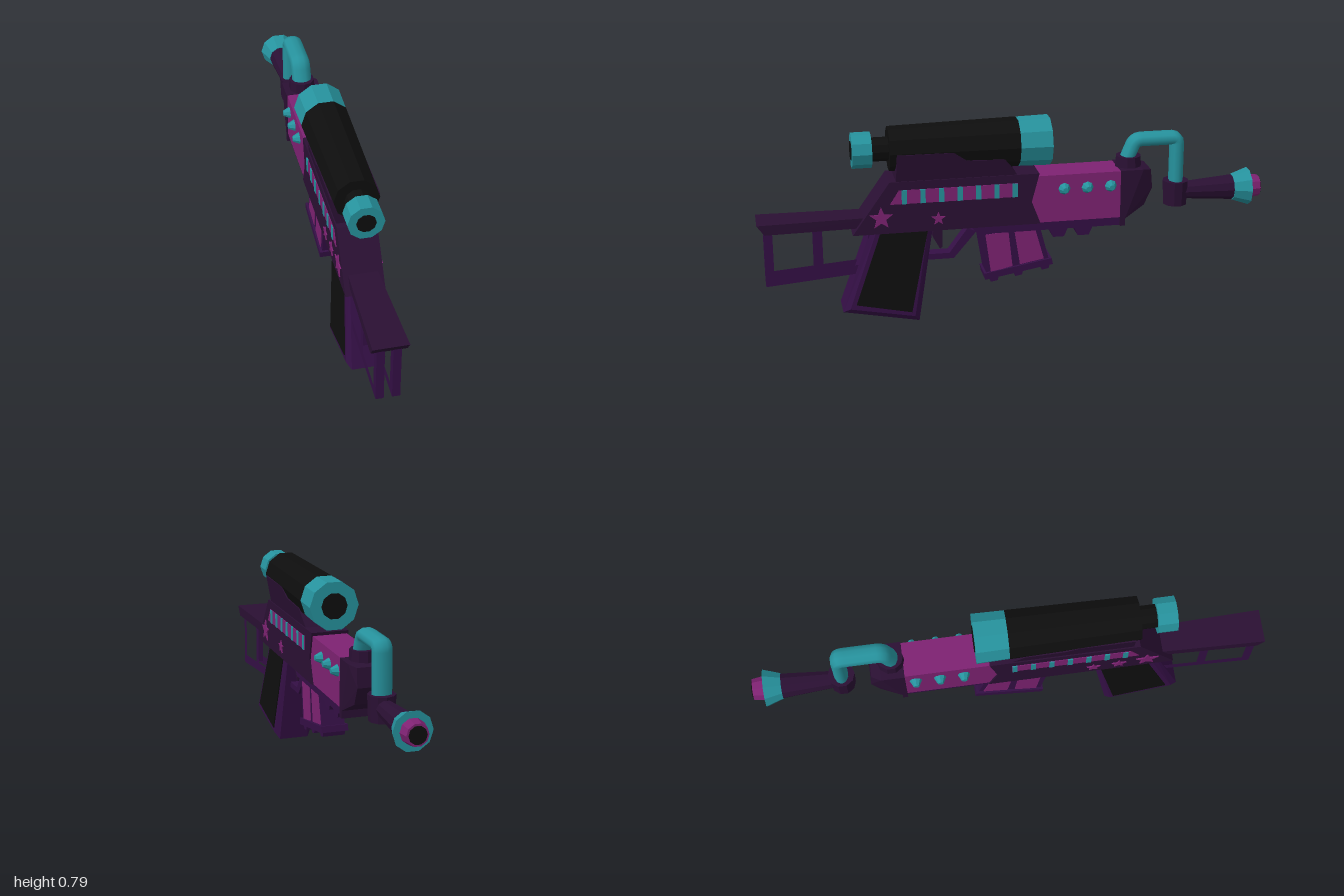
import * as THREE from 'three';

const mat = (name, color) => {
  const m = new THREE.MeshStandardMaterial({ color });
  m.name = name;
  return m;
};

export function createModel() {
  const dark = mat('dark plum', 0x2a1033);
  const purple = mat('purple', 0x340f45);
  const magenta = mat('magenta', 0x7e2272);
  const teal = mat('teal', 0x26929d);
  const black = mat('black', 0x0e0e0e);
  const model = new THREE.Group();

  const add = (name, geo, material) => {
    const mesh = new THREE.Mesh(geo, material);
    mesh.name = name;
    model.add(mesh);
    return mesh;
  };
  const flat = (geo) => {
    const g = geo.index ? geo.toNonIndexed() : geo;
    g.computeVertexNormals();
    return g;
  };

  // Side profile of [z, y] points, extruded across x to a half width that may vary
  const prism = (name, pts, half, material, { x = 0, bevel = 0, holes = [] } = {}) => {
    const toVec = (p) => new THREE.Vector2(p[0], p[1]);
    const shape = new THREE.Shape(pts.map(toVec));
    holes.forEach((h) => shape.holes.push(new THREE.Path(h.map(toVec))));
    const geo = new THREE.ExtrudeGeometry(shape, {
      depth: 2 - 2 * bevel * 10, bevelEnabled: bevel > 0, bevelSegments: 1,
      bevelSize: bevel, bevelOffset: -bevel, bevelThickness: bevel * 10,
    });
    geo.translate(0, 0, -1 + bevel * 10).rotateY(-Math.PI / 2);
    const p = geo.attributes.position;
    for (let i = 0; i < p.count; i++) {
      const w = typeof half === 'function' ? half(p.getY(i), p.getZ(i)) : half;
      p.setX(i, p.getX(i) * w + x);
    }
    return add(name, flat(geo), material);
  };

  // Cylinder along z, from front z0 to rear z1
  const tubeZ = (name, rFront, rRear, z0, z1, y, material, sides = 10) => {
    const geo = new THREE.CylinderGeometry(rFront, rRear, z0 - z1, sides);
    geo.rotateY(Math.PI / sides).rotateX(Math.PI / 2).translate(0, y, (z0 + z1) / 2);
    return add(name, flat(geo), material);
  };
  const tubeY = (name, r0, r1, y0, y1, z, material) =>
    add(name, flat(new THREE.CylinderGeometry(r1, r0, y1 - y0, 10).translate(0, (y0 + y1) / 2, z)), material);

  // Receiver, handguard and nose
  prism('receiver', [[0.64, 0.378], [0.495, 0.583], [-0.085, 0.583], [-0.055, 0.47], [-0.09, 0.378]], 0.075, dark);
  prism('handguard', [[-0.04, 0.38], [-0.04, 0.57], [-0.415, 0.57], [-0.43, 0.38]], 0.069, magenta);
  prism('nose', [[-0.41, 0.345], [-0.41, 0.572], [-0.5, 0.572], [-0.535, 0.565], [-0.542, 0.49], [-0.51, 0.42], [-0.43, 0.375], [-0.43, 0.345]],
    (y, z) => (z < -0.505 ? 0.052 : 0.073), dark);
  prism('lowerRail', [[0.19, 0.385], [0.15, 0.345], [-0.43, 0.345], [-0.43, 0.385]], 0.06, purple);
  for (const z of [-0.17, -0.27])
    prism('railTooth', [[z + 0.04, 0.346], [z + 0.022, 0.305], [z - 0.022, 0.305], [z - 0.04, 0.346]], 0.04, purple);

  // Side decoration
  const star = (z, y, r) => Array.from({ length: 10 }, (_, i) => {
    const a = Math.PI / 2 + (i * Math.PI) / 5;
    const q = i % 2 ? r * 0.42 : r;
    return [z + Math.cos(a) * q, y + Math.sin(a) * q];
  });
  for (const s of [1, -1]) {
    prism('sideStripe', [[0.495, 0.495], [0.46, 0.55], [0, 0.55], [0, 0.495]], 0.002, magenta, { x: s * 0.0755 });
    for (let i = 0; i < 7; i++) {
      const z = 0.44 - i * 0.0715;
      prism('stripeBar', [[z + 0.01, 0.495], [z + 0.01, 0.55], [z - 0.01, 0.55], [z - 0.01, 0.495]], 0.003, teal, { x: s * 0.0775 });
    }
    const stars = s > 0
      ? [[0.53, 0.442, 0.046], [0.31, 0.427, 0.028]]
      : [[0.53, 0.442, 0.046], [0.42, 0.432, 0.03], [0.32, 0.427, 0.028]];
    stars.forEach(([z, y, r]) => prism('star', star(z, y, r), 0.003, magenta, { x: s * 0.077 }));
    for (const z of [-0.185, -0.277, -0.37]) {
      const geo = new THREE.CylinderGeometry(0.011, 0.026, 0.03, 8);
      geo.rotateZ(-s * Math.PI / 2).translate(s * 0.08, 0.513, z);
      add('button', flat(geo), teal);
    }
  }

  // Scope and its mount
  prism('scopeMount', [[0.47, 0.58], [0.465, 0.692], [0.25, 0.692], [0.2, 0.655], [0.05, 0.65], [0, 0.58]],
    (y) => 0.07 + Math.max(0, y - 0.583) * 0.2, dark);
  tubeZ('scopeTube', 0.086, 0.096, 0.49, -0.01, 0.695, black);
  tubeZ('scopeNeck', 0.046, 0.046, 0.56, 0.48, 0.695, black);
  tubeZ('eyepiece', 0.069, 0.069, 0.63, 0.555, 0.695, teal);
  tubeZ('eyepieceLens', 0.037, 0.037, 0.633, 0.628, 0.695, black);
  tubeZ('scopeBell', 0.095, 0.098, 0, -0.135, 0.695, teal);
  tubeZ('scopeLens', 0.052, 0.052, -0.13, -0.138, 0.695, black);

  // Grip with side panels, wider towards the bottom
  const gripWidth = (y) => 0.078 - Math.max(0, y - 0.03) * 0.07;
  prism('grip', [[0.565, 0.4], [0.686, 0.06], [0.39, 0.003], [0.325, 0.4]], gripWidth, purple, { bevel: 0.022 });
  prism('gripPanel', [[0.53, 0.382], [0.635, 0.092], [0.42, 0.047], [0.348, 0.382]],
    (y) => gripWidth(y) + 0.004, black);

  // Trigger and guard
  prism('triggerGuard', [[0.19, 0.36], [0.155, 0.345], [0.245, 0.24], [0.37, 0.24], [0.37, 0.263], [0.262, 0.263]], 0.025, purple);
  prism('trigger', [[0.32, 0.385], [0.325, 0.33], [0.298, 0.28], [0.288, 0.285], [0.285, 0.385]], 0.015, dark);

  // Stock: top bar and two open side frames
  prism('stockBar', [[1, 0.44], [0.972, 0.4], [0.59, 0.4], [0.55, 0.44]],
    (y, z) => 0.054 + Math.max(0, z - 0.62) * 0.034, dark);
  for (const s of [1, -1])
    prism('stockFrame', [[0.975, 0.405], [0.975, 0.182], [0.58, 0.215], [0.56, 0.405]], 0.015, purple, {
      x: s * 0.03,
      holes: [
        [[0.942, 0.4], [0.942, 0.222], [0.788, 0.234], [0.788, 0.4]],
        [[0.754, 0.4], [0.754, 0.237], [0.592, 0.249], [0.575, 0.4]],
      ],
    });

  // Magazine
  prism('magazine', [[0.15, 0.35], [0.118, 0.158], [-0.134, 0.202], [-0.095, 0.35]], 0.045, purple);
  prism('magazinePanel', [[0.123, 0.335], [0.102, 0.178], [0.016, 0.198], [0.032, 0.345]], 0.048, magenta);
  prism('magazinePanel', [[0.008, 0.345], [-0.014, 0.203], [-0.11, 0.22], [-0.075, 0.345]], 0.048, magenta);
  prism('magazineBase', [[0.13, 0.176], [0.126, 0.15], [-0.145, 0.197], [-0.14, 0.222]], 0.055, purple);
  for (const z of [0.09, -0.008, -0.115]) {
    const y = 0.156 - (z - 0.09) * 0.174;
    prism('magazineFoot', [[z + 0.02, y], [z + 0.012, y - 0.02], [z - 0.015, y - 0.015], [z - 0.02, y + 0.006]], 0.045, purple);
  }

  // Bent pipe between nose and muzzle
  tubeY('pipeSocket', 0.053, 0.05, 0.56, 0.613, -0.456, dark);
  const v = (y, z) => new THREE.Vector3(0, y, z);
  const path = new THREE.CurvePath();
  path.add(new THREE.LineCurve3(v(0.6, -0.45), v(0.655, -0.473)));
  path.add(new THREE.QuadraticBezierCurve3(v(0.655, -0.473), v(0.675, -0.482), v(0.675, -0.505)));
  path.add(new THREE.LineCurve3(v(0.675, -0.505), v(0.675, -0.63)));
  path.add(new THREE.QuadraticBezierCurve3(v(0.675, -0.63), v(0.675, -0.652), v(0.653, -0.652)));
  path.add(new THREE.LineCurve3(v(0.653, -0.652), v(0.48, -0.652)));
  add('pipe', new THREE.TubeGeometry(path, 40, 0.028, 10).scale(1.4, 1, 1), teal);

  // Muzzle
  tubeY('muzzleCollar', 0.048, 0.052, 0.4, 0.498, -0.652, dark);
  tubeZ('barrel', 0.032, 0.05, -0.66, -0.89, 0.453, dark);
  tubeZ('muzzleFlare', 0.052, 0.075, -0.885, -0.952, 0.453, teal);
  tubeZ('muzzleTip', 0.05, 0.042, -0.945, -0.996, 0.453, magenta);
  tubeZ('muzzleBore', 0.034, 0.034, -0.993, -1, 0.453, black);

  return model;
}
